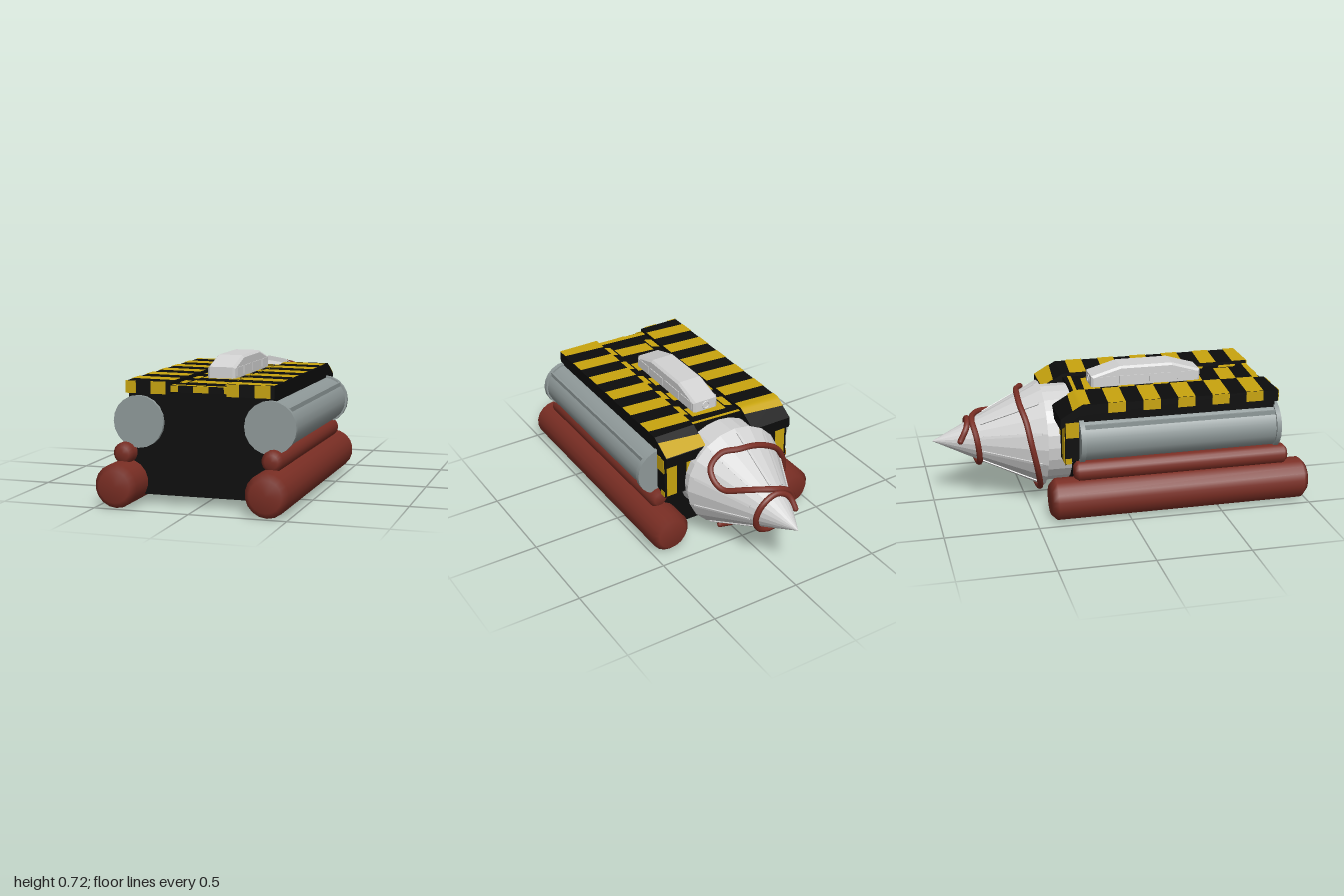
import * as THREE from 'three';

const mat = (name, color, side = THREE.FrontSide, flatShading = false) =>
  Object.assign(new THREE.MeshStandardMaterial({ color, side, flatShading }), { name });

export function createModel() {
  const black = mat('black', 0x0c0c0c);
  const yellow = mat('hazardYellow', 0xc8a40e, THREE.DoubleSide);
  const red = mat('pipeRed', 0x7a2e24);
  const grey = mat('tankGrey', 0x8f9999);
  const pale = mat('paleMetal', 0xd2d2d2, THREE.FrontSide, true);

  const model = new THREE.Group();
  const add = (name, geometry, material, x = 0, y = 0, z = 0, parent = model) => {
    const m = new THREE.Mesh(geometry, material);
    m.name = name;
    m.position.set(x, y, z);
    parent.add(m);
    return m;
  };
  // box from its limits
  const block = (name, material, x0, x1, y0, y1, z0, z1) =>
    add(name, new THREE.BoxGeometry(x1 - x0, y1 - y0, z1 - z0), material,
      (x0 + x1) / 2, (y0 + y1) / 2, (z0 + z1) / 2);
  // outline in (z, y), extruded across x
  const sideProfile = (pts, width, bevel = 0) => {
    const shape = new THREE.Shape(pts.map(p => new THREE.Vector2(...p)));
    const depth = width - 2 * bevel;
    return new THREE.ExtrudeGeometry(shape, {
      depth, bevelEnabled: bevel > 0, bevelSize: bevel, bevelThickness: bevel,
      bevelOffset: -bevel, bevelSegments: 1,
    }).translate(0, 0, -depth / 2).rotateY(-Math.PI / 2);
  };
  // lathe turned to lie along z; points are [radius, z]
  const turned = (pts, sides) =>
    new THREE.LatheGeometry(pts.map(p => new THREE.Vector2(...p)), sides).rotateX(Math.PI / 2);

  // hull
  block('hull', black, -0.38, 0.38, 0.05, 0.565, -0.27, 0.82);

  // pipes and tanks on both sides
  const pipe = (r, z0, z1, c) => turned(
    [[0, z0], [r - c, z0], [r, z0 + c], [r, z1 - c], [r - c, z1], [0, z1]], 18);
  for (const s of [-1, 1]) {
    add('lowerPipe', pipe(0.112, -0.42, 1, 0.03), red, s * 0.392, 0.114, 0);
    add('upperPipe', pipe(0.055, -0.29, 0.89, 0.02), red, s * 0.39, 0.263, 0);
    const tx = s < 0 ? -0.322 : 0.37;
    const tank = new THREE.Group();
    tank.name = 'sideTank';
    tank.position.set(tx, 0.423, 0);
    model.add(tank);
    const cyl = (r, len) => new THREE.CylinderGeometry(r, r, len, 20).rotateX(Math.PI / 2);
    add('tankBody', cyl(0.124, 1.08), grey, 0, 0, 0.29, tank);
    for (const z of [0.827, -0.247]) add('tankCap', cyl(0.134, 0.026), grey, 0, 0, z, tank);
    add('tankRail', new THREE.BoxGeometry(0.012, 0.025, 1.05), grey, s * 0.09, 0.088, 0.29, tank);
  }

  // roof plates bending down at the rear
  const roofY = z => (z > -0.24 ? 0.63 : 0.63 + (z + 0.24) * 0.58);
  const roofShape = [[0.835, 0.567], [0.835, 0.628], [-0.24, 0.628], [-0.36, 0.558],
    [-0.36, 0.5], [-0.26, 0.567]];
  const stripe = (name, x0, x1, z0, z1, heightAt) => {
    const g = new THREE.PlaneGeometry(x1 - x0, 1, 1, 8).rotateX(-Math.PI / 2);
    const p = g.attributes.position;
    for (let i = 0; i < p.count; i++) {
      const t = p.getZ(i) + 0.5;
      const slant = (p.getX(i) / (x1 - x0) + 0.5) * 0.02;
      const z = THREE.MathUtils.clamp(z0 + (z1 - z0) * t + slant, -0.36, 0.837);
      p.setXYZ(i, p.getX(i) + (x0 + x1) / 2, heightAt(z), z);
    }
    g.computeVertexNormals();
    add(name, g, yellow);
  };
  for (const s of [-1, 1]) {
    add('roofPlate', sideProfile(roofShape, 0.24), black, s * 0.27, 0, 0);
    const x0 = s < 0 ? -0.39 : 0.15;
    const start = s < 0 ? -0.295 : -0.39;
    for (let k = 0; k < 7; k++) {
      const z = start + k * 0.19;
      if (z < 0.82) stripe('roofStripe', x0, x0 + 0.24, z, z + 0.095, q => roofY(q) + 0.002);
      // stripes carried over the outer edge of the right-hand plate
      if (s < 0 && z > -0.2 && z < 0.75)
        block('roofEdgeStripe', yellow, -0.392, -0.389, 0.575, 0.63, z, z + 0.095);
    }
  }
  // front edge markings
  for (const [a, b] of [[-0.39, -0.335], [-0.255, -0.175], [0.145, 0.21], [0.29, 0.37]])
    block('frontEdgeStripe', yellow, a, b, 0.567, 0.63, 0.834, 0.838);
  block('centrePlate', black, -0.15, 0.15, 0.58, 0.61, -0.24, 0.83);
  for (const [a, b] of [[-0.15, -0.11], [-0.03, 0.05], [0.13, 0.15]])
    block('centreEdgeStripe', yellow, a, b, 0.58, 0.612, 0.829, 0.834);

  // centre plate stripes and the narrow broken lines beside the cabin
  for (let k = 0; k < 6; k++) {
    const z = -0.18 + k * 0.193;
    if (k < 5) stripe('centreStripe', -0.1, 0.1, z + 0.01, z + 0.1, () => 0.613);
    for (const s of [-1, 1]) {
      const zz = z + (s < 0 ? 0.02 : 0.06);
      if (zz < 0.75) stripe('lineDash', s * 0.128 - 0.02, s * 0.128 + 0.02, zz, zz + 0.1, () => 0.613);
    }
  }
  stripe('centreFrontStripe', -0.15, 0.15, 0.785, 0.82, () => 0.613);
  stripe('centreRearStripe', -0.15, 0.15, -0.235, -0.215, () => 0.613);

  // rear plates beside the drill collar
  const rearShape = [[-0.26, 0.56], [-0.335, 0.53], [-0.335, 0.3], [-0.26, 0.33]];
  for (const s of [-1, 1]) {
    add('rearPlate', sideProfile(rearShape, 0.2), black, s * 0.288, 0, 0);
    const xs = s < 0 ? -0.389 : 0.389;
    block('rearSideStripe', yellow, xs - 0.002, xs + 0.002, 0.45, 0.535, -0.332, -0.262);
    block('rearSideStripe', yellow, xs - 0.002, xs + 0.002, 0.305, 0.335, -0.335, -0.3);
    for (const x of [0.225, 0.345])
      block('rearStripe', yellow, s * x - 0.03, s * x + 0.03, 0.305, 0.525, -0.338, -0.334);
  }

  // cabin on the roof
  const cabin = [[0.49, 0.6], [0.49, 0.672], [0.33, 0.72], [0.04, 0.72], [-0.125, 0.672], [-0.125, 0.6]];
  add('cabin', sideProfile(cabin, 0.15, 0.012), pale);
  for (const s of [-1, 1])
    for (const [a, b] of [[0.36, 0.46], [0.2, 0.34], [0.03, 0.18], [-0.1, 0.01]])
      block('cabinPanel', pale, s * 0.076 - 0.003, s * 0.076 + 0.003, 0.625, 0.668, a, b);
  add('cabinRearRing', new THREE.TorusGeometry(0.02, 0.005, 6, 12), pale, 0, 0.642, -0.125);

  // drill: collar, cone and raised ribs
  const drill = new THREE.Group();
  drill.name = 'drill';
  drill.position.y = 0.35;
  model.add(drill);
  add('drillCollar', new THREE.CylinderGeometry(0.265, 0.265, 0.16, 24).rotateX(Math.PI / 2),
    pale, 0, 0, -0.33, drill);
  add('drillCone', new THREE.CylinderGeometry(0, 0.292, 0.59, 20).rotateX(-Math.PI / 2),
    pale, 0, 0, -0.7, drill);
  for (let i = 0; i < 10; i++) {
    const arm = new THREE.Group();
    arm.name = 'drillRib';
    arm.rotation.z = (i * Math.PI) / 5;
    drill.add(arm);
    const rib = add('rib', new THREE.BoxGeometry(0.014, 0.014, 0.34), pale, 0, 0.201, -0.585, arm);
    rib.rotation.x = -Math.atan(0.292 / 0.59);
  }

  // cable wound round the cone: [degrees from the top, z]
  const wind = [[-200, -0.43], [-180, -0.425], [-150, -0.43], [-115, -0.46], [-85, -0.49], [-56, -0.51],
    [-30, -0.53], [-8, -0.53], [12, -0.52], [30, -0.485], [50, -0.49], [62, -0.54], [66, -0.6],
    [50, -0.68], [32, -0.73], [5, -0.77], [-26, -0.78], [-60, -0.77], [-90, -0.76], [-135, -0.75],
    [-180, -0.75], [-225, -0.77], [-270, -0.79], [-315, -0.8], [-360, -0.8], [-400, -0.815], [-440, -0.85]];
  const path = new THREE.CatmullRomCurve3(wind.map(([deg, z]) => {
    const a = THREE.MathUtils.degToRad(deg);
    const r = 0.292 * (1 - (-0.405 - z) / 0.59) + 0.015;
    return new THREE.Vector3(Math.sin(a) * r, Math.cos(a) * r, z);
  }));
  add('cable', new THREE.TubeGeometry(path, 160, 0.016, 8), red, 0, 0, 0, drill);
  for (const t of [0, 1]) {
    const p = path.getPoint(t);
    add('cableEnd', new THREE.SphereGeometry(0.016, 8, 6), red, p.x, p.y, p.z, drill);
  }
  return model;
}
